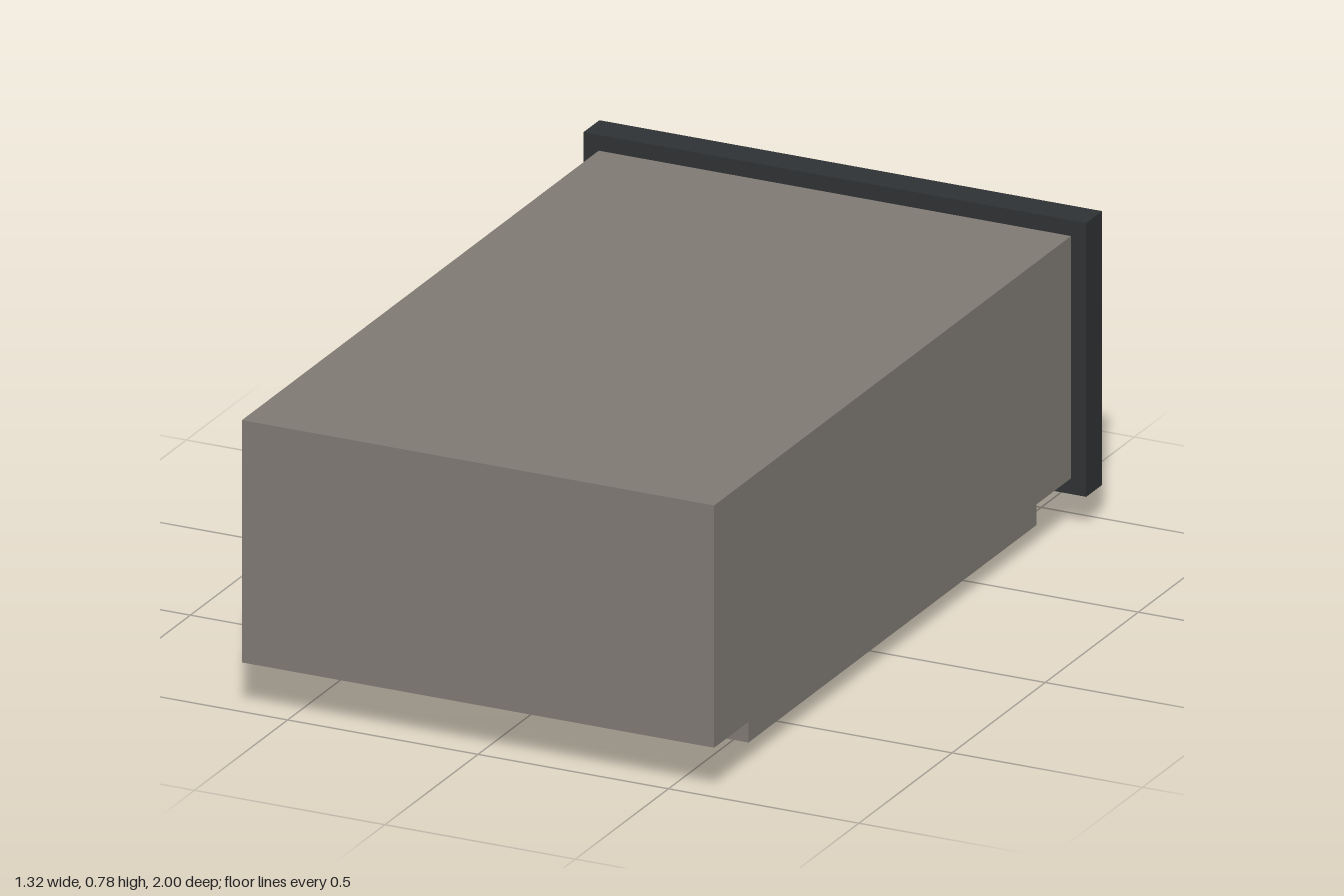
import * as THREE from 'three';

const material = (color) => new THREE.MeshStandardMaterial({ color });

export function createModel() {
  const group = new THREE.Group();
  const stone = material(0x807a73);
  const dark = material(0x2f3234);
  const brown = material(0x543e36);
  const metal = material(0x9da09a);

  // Box given by its [min, max] range along each axis
  const block = (name, mat, [x0, x1], [y0, y1], [z0, z1]) => {
    const mesh = new THREE.Mesh(new THREE.BoxGeometry(x1 - x0, y1 - y0, z1 - z0), mat);
    mesh.position.set((x0 + x1) / 2, (y0 + y1) / 2, (z0 + z1) / 2);
    mesh.name = name;
    group.add(mesh);
  };

  // Main cabinet and the wider plate closing its back
  block('body', stone, [-0.62, 0.62], [0.125, 0.74], [-0.915, 1]);
  block('backPlate', dark, [-0.66, 0.66], [0.085, 0.78], [-1, -0.915]);

  // Paired doors on the underside, each with a long bar handle
  for (const [side, s] of [['left', 1], ['right', -1]]) {
    const mirror = (a, b) => (s > 0 ? [a, b] : [-b, -a]);
    block(side + 'Door', stone, mirror(0.035, 0.595), [0.05, 0.12], [-0.78, 0.765]);
    block(side + 'Handle', metal, mirror(0.065, 0.115), [0, 0.05], [-0.29, 0.27]);
  }

  // Offset inset panels, hung just below the doors
  block('leftPanel', brown, [0.215, 0.415], [0.01, 0.043], [0.205, 0.585]);
  block('rightPanel', brown, [-0.485, -0.24], [0.01, 0.043], [-0.65, -0.16]);

  return group;
}
